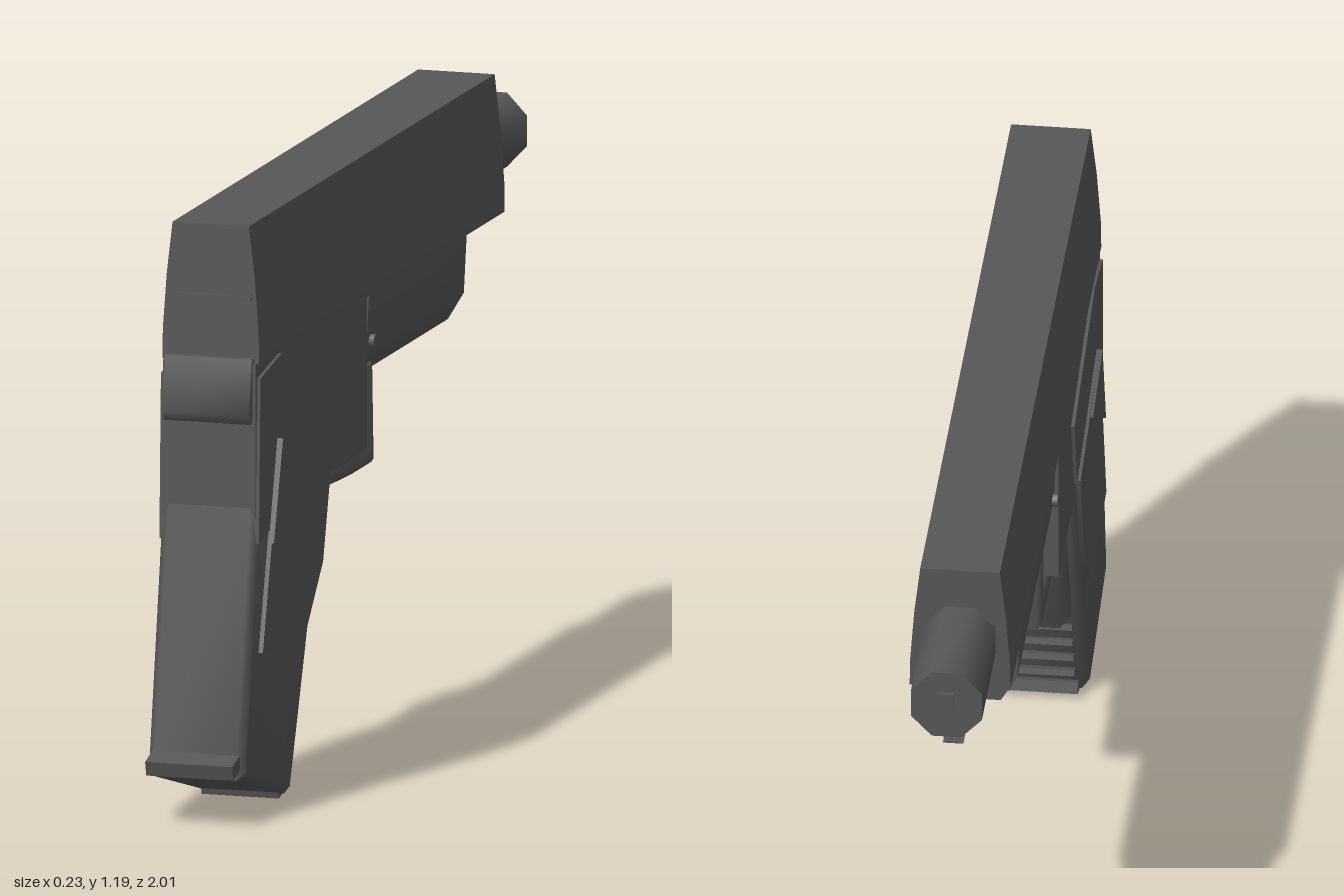
import * as THREE from 'three';
import { toCreasedNormals } from 'three/addons/utils/BufferGeometryUtils.js';

const CX = -0.008; // the body sits slightly off the centre line

export function createModel() {
  const model = new THREE.Group();
  model.name = 'sidearm';
  const steel = new THREE.MeshStandardMaterial({ color: 0x575757 });
  steel.name = 'dark grey steel';

  function add(name, geometry) {
    const mesh = new THREE.Mesh(geometry, steel);
    mesh.name = name;
    model.add(mesh);
    return mesh;
  }

  // Side outline given as [z, y] points, extruded across x
  function sidePart(name, points, width, bevel = 0, x = CX) {
    const shape = new THREE.Shape(points.map(([z, y]) => new THREE.Vector2(-z, y)));
    const geo = new THREE.ExtrudeGeometry(shape, {
      depth: width - 2 * bevel, bevelEnabled: bevel > 0, bevelSegments: 1,
      bevelSize: bevel, bevelThickness: bevel, bevelOffset: -bevel,
    });
    geo.translate(0, 0, -(width - 2 * bevel) / 2).rotateY(Math.PI / 2).translate(x, 0, 0);
    return add(name, toCreasedNormals(geo, 0.85));
  }

  // Symmetric cross-section given as right-hand [x, y] points, extruded from z0 to z1
  function lengthPart(name, half, z0, z1) {
    const outline = [...half, ...half.map(([x, y]) => [-x, y]).reverse()];
    const shape = new THREE.Shape(outline.map(([x, y]) => new THREE.Vector2(x, y)));
    const geo = new THREE.ExtrudeGeometry(shape, { depth: z1 - z0, bevelEnabled: false });
    geo.translate(CX, 0, z0);
    return add(name, toCreasedNormals(geo, 0.6));
  }

  function box(name, w, h, d, x, y, z, tilt = 0) {
    const mesh = add(name, new THREE.BoxGeometry(w, h, d));
    mesh.position.set(x, y, z);
    mesh.rotation.x = tilt;
    return mesh;
  }

  // Slide, tapering towards its top
  lengthPart('slide', [[0.1, 0.91], [0.099, 0.97], [0.091, 1.08], [0.079, 1.185]], -0.75, 0.86);
  box('slideRearGroove', 0.17, 0.008, 0.008, CX, 1.04, 0.86);

  // Barrel and the lug beneath it
  const barrel = add('barrel', toCreasedNormals(
    new THREE.CylinderGeometry(0.076, 0.076, 0.29, 8, 1).rotateY(Math.PI / 8).rotateX(Math.PI / 2)
      .scale(1, 1.06, 1), 0.9));
  barrel.position.set(CX, 1.025, -0.845);
  sidePart('barrelLug', [[-0.72, 0.96], [-0.72, 0.90], [-0.745, 0.89], [-0.85, 0.89], [-0.85, 0.96]], 0.08);
  box('muzzleTip', 0.03, 0.04, 0.012, CX, 1.035, -0.994);

  // Spring guide, a slim tapering spike
  sidePart('springGuide', [[-0.50, 0.885], [-0.50, 0.863], [-0.87, 0.857], [-0.87, 0.861]], 0.04);

  // Forward frame with chamfered underside
  lengthPart('dustCover', [[0.055, 0.735], [0.088, 0.79], [0.094, 0.91]], -0.52, 0.12);

  // Rear frame
  sidePart('frame', [[0.87, 0.6], [0.87, 0.91], [0.14, 0.91], [0.14, 0.6]], 0.192);
  sidePart('frameBridge', [[0.16, 0.84], [0.16, 0.91], [0.1, 0.91], [0.1, 0.84]], 0.1);
  sidePart('hammer', [[0.86, 0.92], [0.875, 0.92], [0.895, 0.81], [0.88, 0.79], [0.86, 0.8]], 0.18);

  // Grip with its upper shoulder plate
  sidePart('grip', [[0.87, 0.62], [0.964, 0.09], [0.65, 0.005], [0.605, 0.12], [0.405, 0.64],
    [0.42, 0.72], [0.8, 0.8]], 0.2, 0.015);
  sidePart('gripFront', [[0.45, 0.62], [0.405, 0.64], [0.46, 0.44], [0.525, 0.225], [0.57, 0.225],
    [0.62, 0.08], [0.7, 0.1]], 0.15, 0.02);
  sidePart('gripShoulder', [[0.86, 0.88], [0.72, 0.905], [0.36, 0.81], [0.41, 0.64], [0.87, 0.55]], 0.206);
  box('buttLip', 0.18, 0.03, 0.05, CX, 0.118, 0.977, 0.27);
  box('buttToe', 0.16, 0.024, 0.05, CX, 0.016, 0.645, 0.27);

  // Finger ribs on the front of the grip
  for (let i = 0; i < 4; i++) {
    box('gripRib', 0.15, 0.012, 0.06, CX, 0.06 + i * 0.045, 0.633 - i * 0.014, 0.27);
  }

  // Thin grip panels on both sides
  const panel = [[0.865, 0.33], [0.75, 0.74], [0.41, 0.65], [0.47, 0.44], [0.6, 0.3]];
  for (const side of [-1, 1]) {
    const plate = sidePart('gripPanel', panel, 0.009, 0, 0);
    plate.position.set(CX + side * 0.105, 0, 0);
    // Raised wedge at the top of each panel
    sidePart('panelRidge', [[0.81, 0.54], [0.75, 0.74], [0.58, 0.69]], 0.008, 0, CX + side * 0.111);
  }

  // Trigger guard: lower bar and front upright
  sidePart('triggerGuard', [[0.45, 0.6], [0.07, 0.6], [0.07, 0.76], [0.03, 0.76], [0.02, 0.55],
    [0.14, 0.55], [0.45, 0.562]], 0.15, 0.01);

  // Cross pin
  const pin = add('crossPin', new THREE.CylinderGeometry(0.014, 0.014, 0.2, 8).rotateZ(Math.PI / 2));
  pin.position.set(CX, 0.81, 0.095);

  return model;
}
